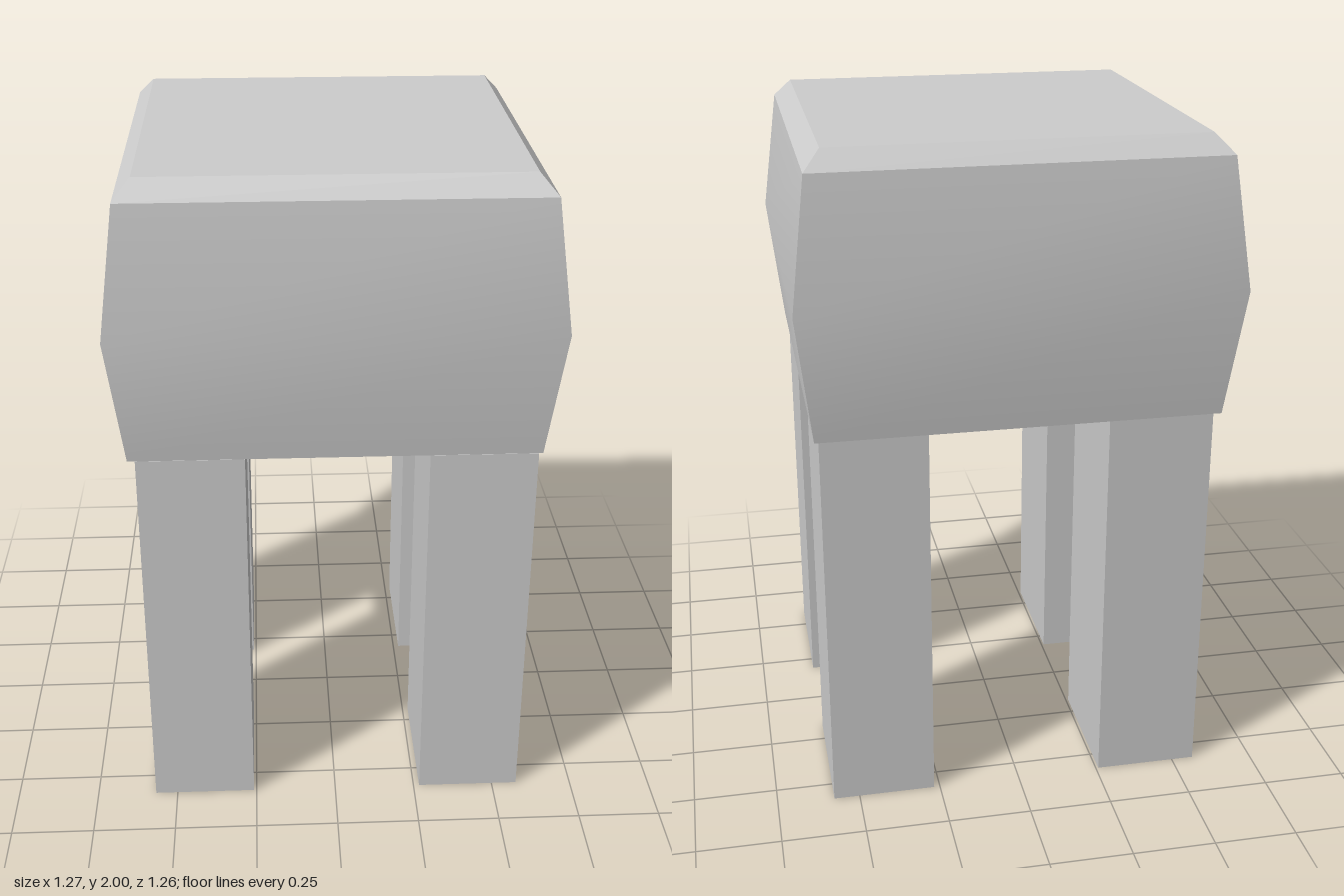
import * as THREE from 'three';
import { toCreasedNormals } from 'three/addons/utils/BufferGeometryUtils.js';

const material = new THREE.MeshStandardMaterial({ color: 0xcccccc });

// Bulging block: a box whose horizontal rings follow a profile of [height, half width, half depth]
function createBody() {
  const rings = [
    [1.19, 0.59, 0.583],
    [1.57, 0.635, 0.628],
    [1.945, 0.588, 0.581],
    [2.0, 0.538, 0.53],
  ];
  const geometry = new THREE.BoxGeometry(2, 3, 2, 1, 3, 1);
  const position = geometry.attributes.position;
  for (let i = 0; i < position.count; i++) {
    const [y, w, d] = rings[Math.round(position.getY(i) + 1.5)];
    position.setXYZ(i, position.getX(i) * w, y, position.getZ(i) * d);
  }
  // The sides stay smooth over the bulge, the bevels stay sharp
  const body = new THREE.Mesh(toCreasedNormals(geometry, Math.PI / 6), material);
  body.name = 'body';
  return body;
}

export function createModel() {
  const model = new THREE.Group();
  model.name = 'blockOnLegs';
  model.add(createBody());

  // Four straight legs, one under each corner
  const legGeometry = new THREE.BoxGeometry(0.31, 1.19, 0.395);
  for (const [end, z] of [['front', 0.387], ['back', -0.378]]) {
    for (const [side, x] of [['Left', 0.423], ['Right', -0.413]]) {
      const leg = new THREE.Mesh(legGeometry, material);
      leg.name = `${end}${side}Leg`;
      leg.position.set(x, 0.595, z);
      model.add(leg);
    }
  }
  return model;
}
